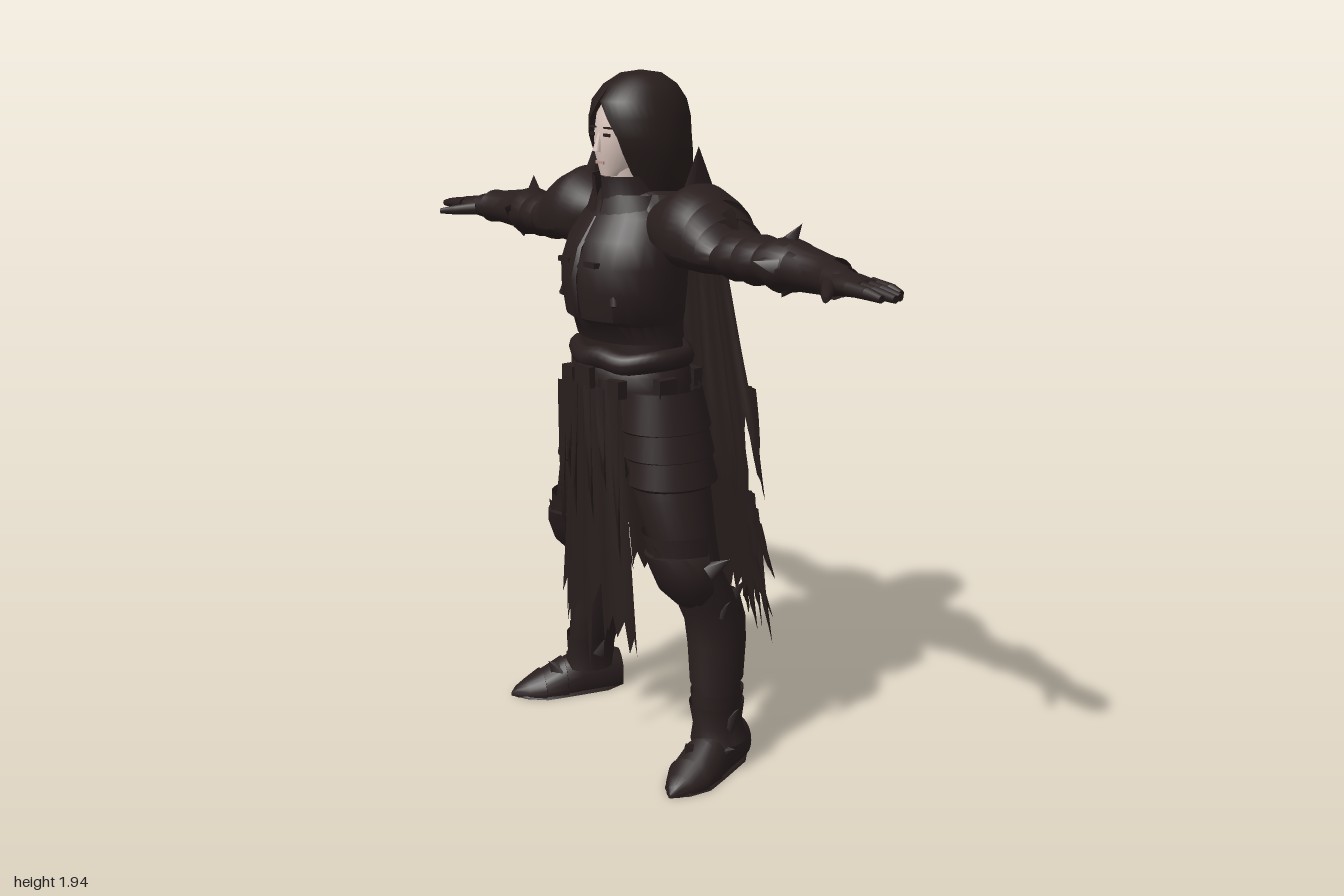
import * as THREE from 'three';
import { mergeGeometries, toCreasedNormals } from 'three/addons/utils/BufferGeometryUtils.js';

const PI = Math.PI;
const mat = (name, color, side = THREE.FrontSide) => {
  const m = new THREE.MeshStandardMaterial({ color, side });
  m.name = name;
  return m;
};
let seed = 7;
const rnd = () => (seed = (seed * 16807) % 2147483647) / 2147483647;

// Linear lookup in a list of [key, value], keys descending
function lookup(list, k) {
  if (k >= list[0][0]) return list[0][1];
  for (let i = 1; i < list.length; i++) {
    const [a, va] = list[i - 1], [b, vb] = list[i];
    if (k >= b) return va + (vb - va) * (a - k) / (a - b);
  }
  return list[list.length - 1][1];
}

// Grid surface from a function of u, v in 0..1
function grid(nu, nv, fn, flip = false) {
  const pos = [], idx = [];
  for (let i = 0; i <= nv; i++) for (let j = 0; j <= nu; j++) pos.push(...fn(j / nu, i / nv, j, i));
  for (let i = 0; i < nv; i++) for (let j = 0; j < nu; j++) {
    const a = i * (nu + 1) + j, b = a + 1, d = a + nu + 1, c = d + 1;
    idx.push(...(flip ? [a, c, d, a, b, c] : [a, d, c, a, c, b]));
  }
  const g = new THREE.BufferGeometry();
  g.setAttribute('position', new THREE.Float32BufferAttribute(pos, 3));
  g.setIndex(idx);
  return toCreasedNormals(g, 0.75);
}

// Elliptic sections [t, r1, r2, c1, c2, span]; along y: r1 = x, r2 = z; along x: r1 = y, r2 = z
function loft(rows, { axis = 'y', n = 28, mid = -PI / 2, span = PI, floor = false } = {}) {
  const flip = rows[0][0] > rows[rows.length - 1][0];
  return grid(n, rows.length - 1, (u, v, j, i) => {
    const [t, r1, r2, c1 = 0, c2 = 0, sp = span] = rows[i];
    const a = mid + (u * 2 - 1) * sp;
    if (axis === 'y') return [c1 + r1 * Math.cos(a), t, c2 + r2 * Math.sin(a)];
    const y = c1 + r1 * Math.sin(a);
    return [t, floor ? Math.max(y, 0) : y, c2 + r2 * Math.cos(a)];
  }, flip);
}

// Tapered round bar between two points; r1 = 0 gives a spike
function bar(p, q, r0, r1, n = 8) {
  const a = new THREE.Vector3(...p), d = new THREE.Vector3(...q).sub(a);
  const g = new THREE.CylinderGeometry(r1, r0, d.length(), n);
  g.applyQuaternion(new THREE.Quaternion().setFromUnitVectors(new THREE.Vector3(0, 1, 0), d.clone().normalize()));
  return g.translate(a.x + d.x / 2, a.y + d.y / 2, a.z + d.z / 2);
}
const box = (w, h, d, x, y, z) => new THREE.BoxGeometry(w, h, d).translate(x, y, z);

function merge(list) {
  return mergeGeometries(list.map(g => {
    const h = g.index ? g.toNonIndexed() : g;
    h.deleteAttribute('uv');
    return h;
  }));
}

// Mirror across x and restore the face order
function mirror(geo) {
  const g = geo.clone().scale(-1, 1, 1);
  for (const at of Object.values(g.attributes)) {
    for (let i = 0; i < at.count; i += 3) for (let k = 0; k < 3; k++) {
      const t = at.getComponent(i, k);
      at.setComponent(i, k, at.getComponent(i + 2, k));
      at.setComponent(i + 2, k, t);
    }
  }
  return g;
}

// Ragged hanging strip that tapers to a torn point
function tatter(x, top, bottom, w, z, dx = 0, dz = 0) {
  return grid(4, 6, (u, v) => {
    const tip = 1 - 0.18 * Math.abs(u * 4 - 2) * (0.6 + 0.4 * rnd());
    const k = v * tip, width = w * (1 - 0.75 * v * v);
    return [x + (u - 0.5) * width + dx * k, top + (bottom - top) * k, z + dz * k + 0.006 * Math.cos(u * 7)];
  });
}

// Torn hem heights: strips three columns wide with a slanted lower edge
function tornHem(cols, low, range) {
  let base = low;
  return Array.from({ length: cols + 1 }, (_, j) => {
    if (j % 3 === 0) base = low + rnd() * range;
    return base + (j % 3) * 0.025;
  });
}

export function createModel() {
  const root = new THREE.Group();
  const armour = mat('dark armour', 0x291e1e, THREE.DoubleSide);
  const cloth = mat('dark cloth', 0x271d1c, THREE.DoubleSide);
  const skin = mat('skin', 0xd6c1b8);
  const lip = mat('lips', 0xbb9a92);
  const add = (name, parts, m) => {
    const mesh = new THREE.Mesh(merge([].concat(parts)), m);
    mesh.name = name;
    root.add(mesh);
    return mesh;
  };
  const pair = (name, parts, m) => {
    const left = add(name + 'Left', parts, m);
    const right = new THREE.Mesh(mirror(left.geometry), m);
    right.name = name + 'Right';
    root.add(right);
  };

  // Head, face and hood
  add('face', [
    loft([[1.66, .005, .005, 0, .125], [1.667, .03, .035, 0, .12], [1.69, .05, .07, 0, .09], [1.73, .068, .095, 0, .074],
      [1.78, .078, .1, 0, .068], [1.83, .08, .098, 0, .06], [1.88, .06, .08, 0, .05]]),
    bar([0, 1.79, .16], [0, 1.732, .174], .005, .012), bar([0, 1.6, .075], [0, 1.69, .09], .058, .05, 16)], skin);
  pair('eye', [box(.026, .008, .006, .031, 1.777, .162), box(.034, .005, .006, .033, 1.796, .16)], cloth);
  add('mouth', box(.034, .008, .006, 0, 1.703, .163), lip);
  add('hood', loft([[1.942, .004, .004, 0, .025], [1.934, .055, .058, 0, .025], [1.905, .096, .103, 0, .027],
    [1.865, .12, .134, 0, .03, PI - .03], [1.82, .131, .144, 0, .029, PI - .3], [1.77, .136, .143, 0, .027, PI - .5],
    [1.73, .136, .137, 0, .018, PI - .52], [1.68, .128, .127, 0, .006, PI - .58], [1.63, .115, .12, 0, -.002, PI - .75],
    [1.585, .1, .112, 0, -.006, PI - .9]], { n: 40 }), cloth);
  add('collar', [
    loft([[1.54, .13, .13, 0, .05, PI - .05], [1.6, .1, .1, 0, .065, PI - .1], [1.668, .088, .1, 0, .072, PI - .17]]),
    loft([[1.55, .15, .14, 0, .04, PI - .1], [1.62, .12, .112, 0, .05, PI - .15]])], armour);

  // Torso and breastplate
  add('torso', loft([[1.0, .19, .12, 0, .04], [1.12, .185, .13, 0, .055], [1.22, .165, .128, 0, .06], [1.3, .165, .135, 0, .055],
    [1.45, .175, .135, 0, .045], [1.56, .18, .122, 0, .025], [1.62, .14, .1, 0, .02], [1.64, .05, .05, 0, .03]]), armour);
  add('breastplate', [
    loft([[1.22, .172, .135, 0, .062], [1.27, .168, .146, 0, .07], [1.285, .178, .158, 0, .08], [1.36, .187, .167, 0, .083],
      [1.43, .19, .167, 0, .083], [1.5, .184, .152, 0, .07], [1.56, .158, .13, 0, .05], [1.6, .12, .105, 0, .045]]),
    loft([[1.25, .012, .012, 0, .21], [1.3, .012, .014, 0, .24], [1.4, .014, .014, 0, .248], [1.48, .012, .012, 0, .228],
      [1.56, .01, .01, 0, .172]], { n: 6 })], armour);
  pair('chestStrap', [bar([.05, 1.55, .165], [.12, 1.33, .208], .012, .012, 6), box(.05, .014, .02, .06, 1.44, .236)], armour);

  // Belt, pouches and layered skirt plates
  const roll = new THREE.TorusGeometry(.17, .032, 10, 48).rotateX(PI / 2).scale(1, 1, .8).translate(0, 1.17, .06);
  const rp = roll.attributes.position;
  for (let i = 0; i < rp.count; i++) rp.setY(i, rp.getY(i) + .007 * Math.sin(40 * rp.getX(i)));
  add('belt', [roll, loft([[1.09, .197, .15, 0, .058], [1.13, .192, .15, 0, .06], [1.15, .18, .14, 0, .06]]),
    box(.07, .06, .02, 0, 1.12, .22)], armour);
  pair('pouch', [box(.05, .05, .03, .11, 1.1, .19), box(.03, .06, .06, .195, 1.1, .09), box(.06, .05, .03, .11, 1.1, -.07)], armour);
  add('skirtPlates', [0, 1, 2].map(i => loft([[1.1 - i * .06, .19 + i * .006, .13, 0, .05],
    [1.02 - i * .06, .203 + i * .006, .135, 0, .046]])), armour);
  pair('thighPlate', [0, 1, 2].map(i => loft([[1.09 - i * .075, .103, .118, .125 + i * .016, .048],
    [.98 - i * .075, .122, .135, .135 + i * .016, .044], [.97 - i * .075, .11, .122, .135 + i * .016, .046]],
  { mid: 0, span: 1.75, n: 18 })), armour);

  // Legs
  pair('leg', loft([[.08, .055, .07, .315, -.02], [.2, .055, .075, .305, -.015], [.3, .06, .083, .287, -.025],
    [.4, .068, .085, .272, -.035], [.5, .073, .085, .262, -.005], [.58, .078, .085, .25, .035], [.68, .086, .102, .225, .053],
    [.8, .104, .113, .18, .053], [.95, .115, .122, .13, .048], [1.08, .1, .11, .1, .04]]), armour);
  pair('kneeGuard', [
    loft([[.49, .05, .05, .262, .04], [.54, .084, .085, .258, .055], [.6, .092, .1, .252, .065], [.645, .085, .11, .238, .068],
      [.65, .075, .09, .238, .066]], { mid: PI / 2, span: 1.9, n: 16 }),
    loft([[.62, .085, .1, .24, .06], [.7, .097, .114, .222, .058]], { mid: PI / 2, span: 1.8, n: 16 }),
    bar([.255, .6, .13], [.25, .685, .18], .035, 0, 4), bar([.33, .6, .04], [.375, .64, .0], .03, 0, 4),
    bar([.19, .59, .05], [.165, .625, .03], .02, 0, 4)], armour);
  pair('greave', [
    loft([[.25, .064, .084, .295, -.022], [.36, .074, .09, .28, -.033], [.43, .08, .092, .27, -.033], [.5, .087, .096, .263, -.01]]),
    ...[.28, .4, .5].map(y => bar([.28, y - .03, -.085], [.29, y + .025, -.13], .026, 0, 4)),
    bar([.335, .46, 0], [.365, .51, -.01], .02, 0, 4)], armour);

  // Boots, turned outwards
  const foot = loft([[-.125, .03, .02, .04], [-.115, .07, .05, .04], [-.06, .09, .06, .04], [.02, .09, .062, .035],
    [.07, .08, .064, .022], [.072, .086, .068, .022], [.14, .056, .066, .012], [.142, .063, .069, .012], [.19, .04, .046, .008],
    [.225, .024, .02, .005], [.24, .006, .004, .004]], { axis: 'x', floor: true, n: 24 });
  const sole = loft([[-.12, .018, .035], [-.06, .018, .064], [.06, .018, .07], [.14, .018, .072], [.2, .018, .043], [.235, .012, .006]],
    { axis: 'x', floor: true, n: 16 });
  pair('boot', [foot, sole].map(g => g.rotateY(-1.25).translate(.328, 0, .005)), armour);
  pair('ankleGuard', [
    loft([[.08, .075, .085, .322, -.01], [.13, .06, .076, .315, -.01], [.19, .074, .083, .308, -.012]]),
    loft([[.16, .058, .075, .31, -.012], [.225, .068, .082, .302, -.018]]),
    bar([.36, .13, -.01], [.4, .195, -.02], .028, 0, 4), bar([.25, .14, 0], [.225, .19, 0], .025, 0, 4),
    bar([.37, .06, .02], [.42, .085, .01], .022, 0, 4), bar([.335, .07, .1], [.345, .11, .13], .03, 0, 4)], armour);

  // Arms, gauntlets and hands
  const alongX = rows => loft(rows, { axis: 'x', n: 20 });
  pair('arm', alongX([[.14, .08, .08, 1.51, .02], [.28, .075, .085, 1.5, .01], [.4, .06, .076, 1.495, .012], [.52, .056, .07, 1.49, .012],
    [.62, .056, .06, 1.49, .01], [.74, .045, .05, 1.485, .015], [.82, .03, .042, 1.482, .03], [.83, .005, .005, 1.482, .03]]), armour);
  pair('armPlates', [
    alongX([[.38, .058, .079, 1.493, .013], [.42, .067, .087, 1.492, .013], [.46, .058, .078, 1.492, .013]]),
    alongX([[.45, .057, .076, 1.492, .013], [.49, .066, .083, 1.49, .013], [.53, .056, .074, 1.49, .013]]),
    alongX([[.53, .056, .072, 1.493, .01], [.58, .072, .083, 1.49, .005], [.63, .056, .062, 1.49, .005]]),
    alongX([[.61, .066, .072, 1.49, .0], [.63, .06, .066, 1.49, .0], [.74, .048, .055, 1.487, .012], [.77, .051, .058, 1.485, .018]]),
    alongX([[.75, .043, .05, 1.485, .02], [.81, .036, .052, 1.484, .03]])], armour);
  pair('armSpikes', [
    bar([.57, 1.53, 0], [.605, 1.595, -.02], .035, 0, 4), bar([.57, 1.5, -.05], [.51, 1.51, -.1], .04, 0, 4),
    bar([.6, 1.5, -.04], [.6, 1.51, -.105], .035, 0, 4), bar([.61, 1.45, .02], [.59, 1.412, .03], .03, 0, 4),
    bar([.6, 1.5, .06], [.57, 1.51, .11], .03, 0, 4)], armour);
  const hand = [alongX([[.8, .029, .045, 1.483, .03], [.84, .028, .052, 1.483, .033], [.89, .022, .05, 1.482, .035], [.9, .004, .03, 1.482, .035]]),
    bar([.8, 1.478, .07], [.845, 1.472, .12], .02, .015), bar([.845, 1.472, .12], [.878, 1.468, .155], .015, .008)];
  [[-.005, .965], [.022, .99], [.048, 1.0], [.073, .98]].forEach(([z, end]) => {
    hand.push(bar([.87, 1.484, z], [.93, 1.482, z + .002], .019, .016), bar([.93, 1.482, z + .002], [end, 1.476, z + .003], .016, .01));
  });
  pair('hand', hand, armour);

  // Shoulder guards: overlapping plates that slope down to a pointed edge
  const lame = rows => loft(rows, { axis: 'x', mid: PI / 2, span: 1.85, n: 24 });
  pair('shoulderGuard', [
    lame([[.13, .075, .1, 1.54, .01], [.18, .1, .118, 1.535, .015], [.23, .128, .128, 1.53, .018], [.26, .132, .13, 1.53, .02],
      [.31, .115, .128, 1.525, .02], [.33, .106, .126, 1.52, .02]]),
    lame([[.27, .115, .12, 1.515, .018], [.33, .1, .122, 1.51, .018], [.37, .082, .118, 1.5, .018]]),
    lame([[.32, .09, .11, 1.5, .015], [.37, .074, .112, 1.495, .015], [.405, .05, .1, 1.49, .015]]),
    bar([.34, 1.57, .01], [.41, 1.525, .01], .05, .004, 4),
    bar([0, 1.57, 0], [0, 1.755, 0], .085, 0, 6).scale(.32, 1, 1).translate(.226, 0, .005)], armour);

  // Cape with soft uneven folds and a torn hem
  const capeW = [[1.6, .2], [1.45, .23], [1.2, .285], [1.0, .335], [.85, .36], [.7, .34], [.3, .34]];
  const capeZ = [[1.62, -.108], [1.4, -.128], [1.0, -.148], [.8, -.164], [.4, -.213], [.2, -.25]];
  const cols = 84;
  const hem = tornHem(cols, .35, .1).map((h, j) => (Math.abs(j / cols * 2 - 1) > .86 ? h * 1.6 + .27 : h));
  hem[36] = hem[48] = .25;
  hem[37] = .2;
  hem[42] = hem[43] = .55;
  add('cape', grid(cols, 30, (u, v, j) => {
    const s = u * 2 - 1, y = 1.61 + (hem[j] - 1.61) * v;
    const amp = .005 + .011 * (1.61 - y);
    const fold = Math.cos(s * 15 + 1) + .5 * Math.cos(s * 33 + 2);
    return [s * lookup(capeW, y), y, lookup(capeZ, y) + amp * fold + .048 * s * s];
  }), cloth);
  pair('capeTatter', [[.335, .76, .34, .05, .03], [.32, .8, .37, .05, .0], [.355, .72, .54, .04, .015],
    [.3, .7, .36, .06, 0], [.335, .62, .42, .05, .03], [.31, 1.1, .76, .06, .01]]
    .map(([x, a, b, w, dx]) => tatter(x, a, b, w, -.115, dx, -.05)), cloth);

  // Front cloth and hanging strips
  const hem2 = tornHem(36, .33, .14);
  hem2[19] = .22;
  hem2[9] = .3;
  add('frontCloth', grid(36, 16, (u, v, j) => {
    const s = u * 2 - 1, y = 1.12 + (hem2[j] - 1.12) * v;
    return [s * (.11 + .06 * (1.12 - y) / .6), y, .214 + .007 * Math.cos(s * 11) - .032 * s * s];
  }), cloth);
  pair('frontStrips', [[.03, 1.1, .7, .035], [.075, 1.1, .8, .045], [.125, 1.08, .6, .045]]
    .map(([x, a, b, w], i) => tatter(x, a, b, w, .23 - i * .012, .012, 0)), cloth);
  return root;
}
